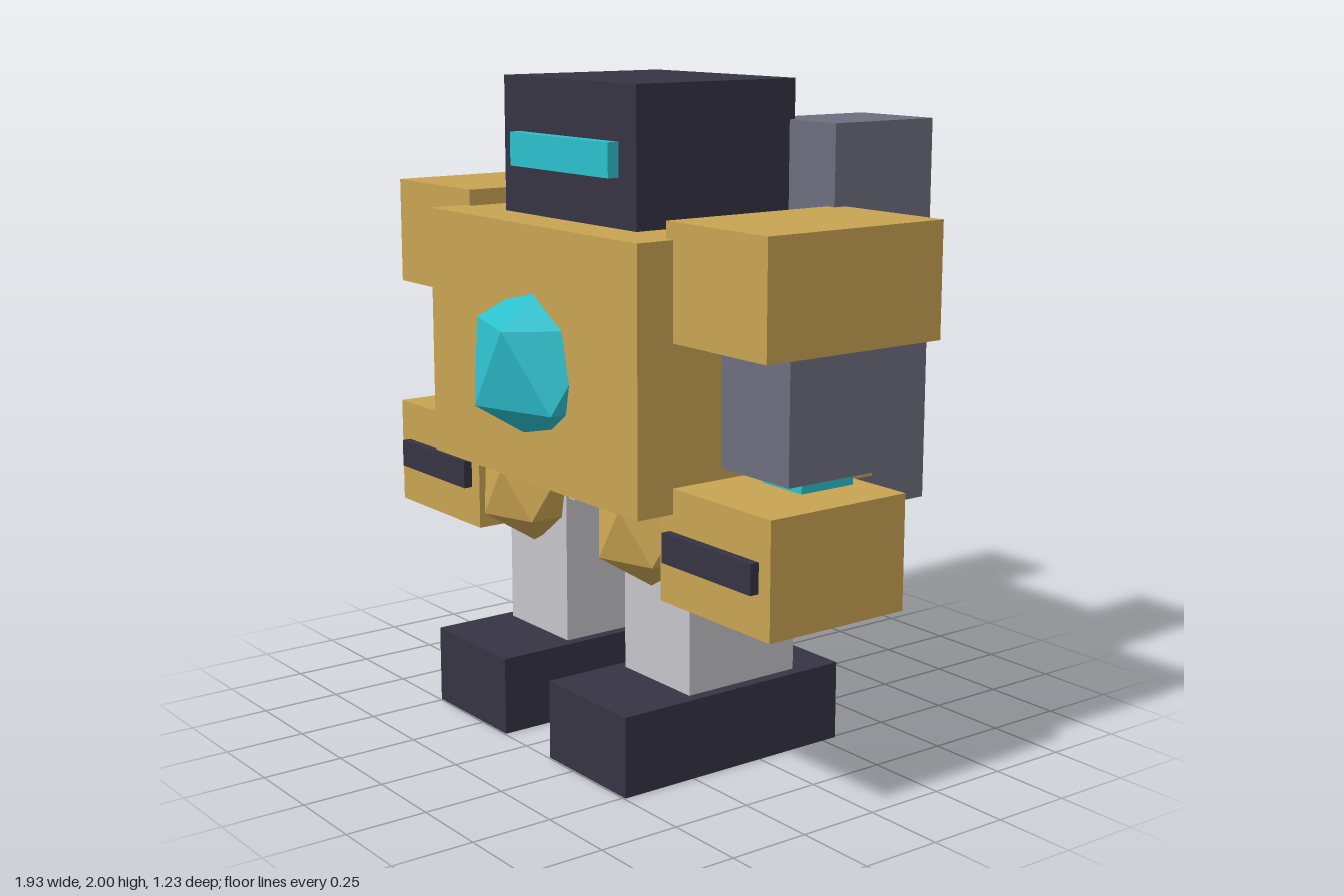
import * as THREE from 'three';
import { ConvexGeometry } from 'three/addons/geometries/ConvexGeometry.js';

const paint = (name, color) => {
  const m = new THREE.MeshStandardMaterial({ color });
  m.name = name;
  return m;
};

export function createModel() {
  const gold = paint('gold armour', 0xc9a452);
  const dark = paint('dark metal', 0x363443);
  const steel = paint('steel grey', 0x6d6f7f);
  const pale = paint('pale grey', 0xc5c4ca);
  const cyan = paint('cyan glow', 0x2cc0cd);

  const robot = new THREE.Group();
  robot.name = 'robot';

  const add = (name, geometry, material, parent) => {
    const mesh = new THREE.Mesh(geometry, material);
    mesh.name = name;
    parent.add(mesh);
    return mesh;
  };

  // Box given by its extents along each axis
  const box = (name, material, [x0, x1], [y0, y1], [z0, z1], parent = robot) =>
    add(name, new THREE.BoxGeometry(x1 - x0, y1 - y0, z1 - z0), material, parent)
      .position.set((x0 + x1) / 2, (y0 + y1) / 2, (z0 + z1) / 2);

  // Icosahedron standing on a vertex: two poles and two staggered rings of five
  const gem = (name, material, radius, x, y, z, parent = robot) => {
    const points = [new THREE.Vector3(0, radius, 0), new THREE.Vector3(0, -radius, 0)];
    for (let i = 0; i < 10; i++) {
      const a = (i * Math.PI) / 5;
      const ring = (radius * 2) / Math.sqrt(5);
      points.push(new THREE.Vector3(
        Math.cos(a) * ring, (i % 2 ? -1 : 1) * ring / 2, Math.sin(a) * ring));
    }
    add(name, new ConvexGeometry(points), material, parent).position.set(x, y, z);
  };

  // Body and head
  box('torso', gold, [-0.54, 0.54], [0.82, 1.59], [-0.4, 0.475]);
  box('head', dark, [-0.337, 0.337], [1.58, 2], [-0.25, 0.328]);
  box('visor', cyan, [-0.252, 0.252], [1.735, 1.836], [0.3, 0.365]);
  gem('chestGem', cyan, 0.268, 0, 1.18, 0.387);

  // Arms, legs and back packs on both sides
  for (const [side, s] of [['left', 1], ['right', -1]]) {
    const span = (a, b) => (s > 0 ? [a, b] : [-b, -a]);
    const group = (part) => {
      const g = new THREE.Group();
      g.name = side + part;
      robot.add(g);
      return g;
    };

    const arm = group('Arm');
    box('shoulder', gold, span(0.508, 0.94), [1.305, 1.64], [-0.272, 0.353], arm);
    box('upperArm', steel, span(0.578, 0.87), [0.94, 1.32], [-0.13, 0.212], arm);
    box('elbow', cyan, span(0.64, 0.806), [0.88, 0.95], [-0.08, 0.11], arm);
    box('forearm', gold, span(0.482, 0.965), [0.556, 0.895], [-0.13, 0.353], arm);
    box('forearmVent', dark, span(0.527, 0.917), [0.682, 0.77], [0.34, 0.382], arm);

    const leg = group('Leg');
    box('thigh', pale, span(0.122, 0.5), [0.703, 0.85], [-0.147, 0.23], leg);
    box('shin', pale, span(0.155, 0.472), [0.23, 0.74], [-0.155, 0.24], leg);
    gem('kneeGuard', gold, 0.18, s * 0.311, 0.72, 0.257, leg);
    box('foot', dark, span(0.122, 0.507), [0, 0.242], [-0.3, 0.495], leg);

    box(side + 'BackPack', steel, span(0.23, 0.54), [0.723, 1.88], [-0.612, -0.23]);
  }

  return robot;
}
